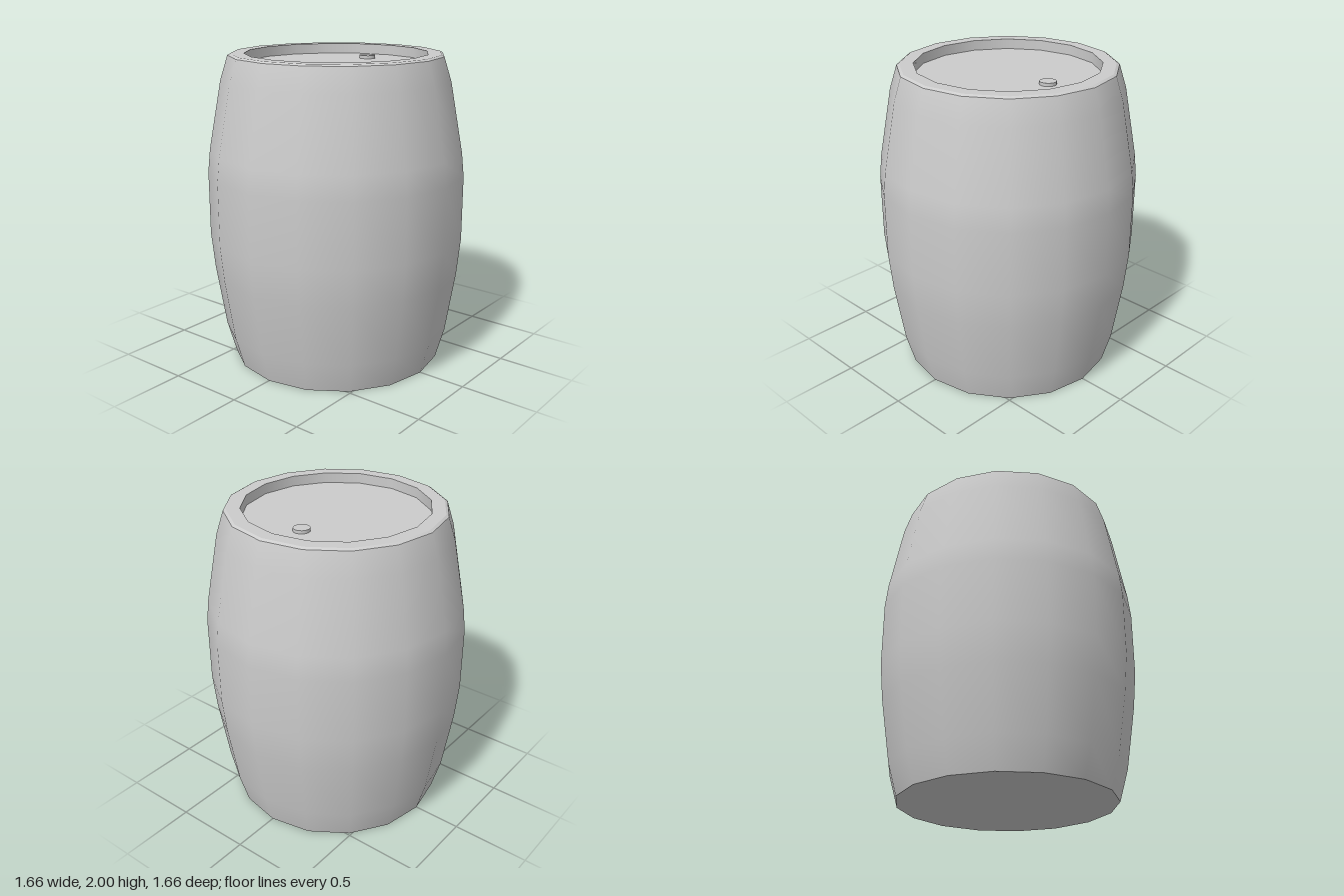
import * as THREE from 'three';

const SIDES = 16;
const material = new THREE.MeshStandardMaterial({ color: 0xcccccc });

// One smooth band of the barrel, turned from [radius, height] points
function band(name, points) {
  const profile = points.map(([r, y]) => new THREE.Vector2(r, y));
  const mesh = new THREE.Mesh(new THREE.LatheGeometry(profile, SIDES), material);
  mesh.name = name;
  return mesh;
}

export function createModel() {
  const barrel = new THREE.Group();
  barrel.name = 'barrel';

  // Separate bands keep the edges between them sharp
  barrel.add(
    band('base', [[0, 0], [0.687, 0]]),
    band('wall', [
      [0.687, 0], [0.743, 0.2], [0.805, 0.6], [0.828, 0.84],
      [0.828, 1.25], [0.812, 1.4], [0.73, 1.84], [0.682, 1.99],
    ]),
    band('rimBevel', [[0.682, 1.99], [0.665, 2]]),
    band('rim', [[0.665, 2], [0.58, 2]]),
    band('rimInside', [[0.58, 2], [0.58, 1.935]]),
    band('lid', [[0.58, 1.935], [0, 1.935]]),
  );

  // Small bung on the lid, toward the model's left
  const bung = new THREE.Mesh(new THREE.CylinderGeometry(0.052, 0.052, 0.02, SIDES), material);
  bung.name = 'bung';
  bung.position.set(0.328, 1.945, 0);
  barrel.add(bung);

  return barrel;
}
